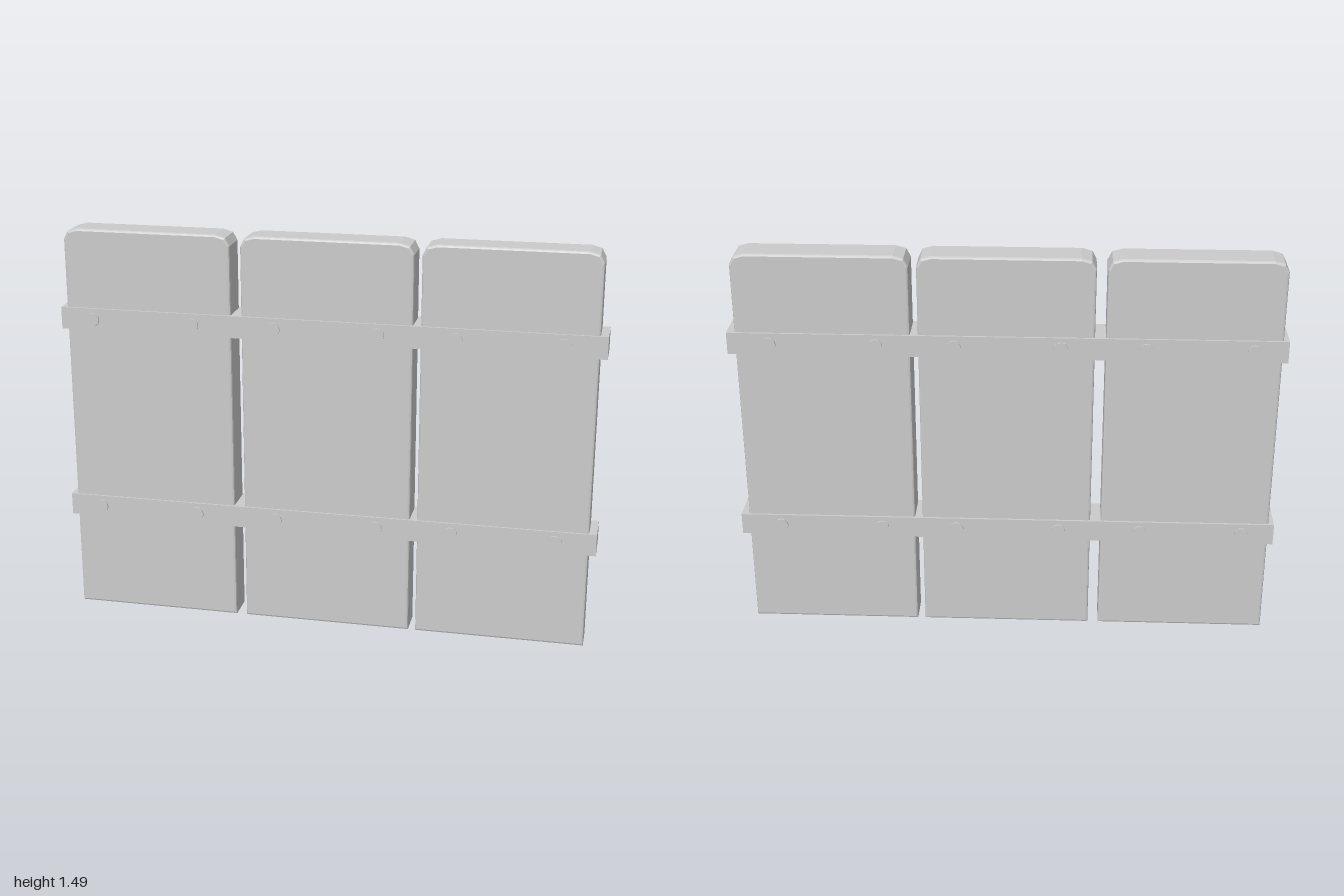
import * as THREE from 'three';

const material = new THREE.MeshStandardMaterial({ color: 0xcccccc, flatShading: true });

// Upright board with clipped top corners and a fine bevel on its edges
function makePlank(x0, x1) {
  const b = 0.008, top = 1.485 - b, l = x0 + b, r = x1 - b, halfDepth = 0.062;
  const shape = new THREE.Shape([
    [l, b], [r, b], [r, top - 0.034], [r - 0.013, top - 0.009], [r - 0.045, top],
    [l + 0.045, top], [l + 0.013, top - 0.009], [l, top - 0.034],
  ].map(([x, y]) => new THREE.Vector2(x, y)));
  const geometry = new THREE.ExtrudeGeometry(shape, {
    depth: 2 * (halfDepth - b), bevelThickness: b, bevelSize: b, bevelSegments: 2,
  });
  geometry.translate(0, 0, b - halfDepth);
  return new THREE.Mesh(geometry, material);
}

export function createModel() {
  const model = new THREE.Group();
  model.name = 'plankBarrier';

  // Three planks side by side
  [[-0.98, -0.354], [-0.315, 0.315], [0.343, 0.972]].forEach(([x0, x1], i) => {
    const plank = makePlank(x0, x1);
    plank.name = `plank${i + 1}`;
    model.add(plank);
  });

  // Two bands around the planks, bolted on both faces
  const bandGeometry = new THREE.BoxGeometry(2, 0.082, 0.14);
  const boltGeometry = new THREE.CylinderGeometry(0.026, 0.026, 0.02, 12).rotateX(Math.PI / 2);
  for (const [label, y] of [['lower', 0.41], ['upper', 1.15]]) {
    const band = new THREE.Mesh(bandGeometry, material);
    band.name = `${label}Band`;
    band.position.y = y;
    model.add(band);

    const bolts = new THREE.Group();
    bolts.name = `${label}Bolts`;
    for (const x of [-0.88, -0.5, -0.195, 0.187, 0.468, 0.85]) {
      for (const side of [-1, 1]) {
        const bolt = new THREE.Mesh(boltGeometry, material);
        bolt.name = 'bolt';
        bolt.position.set(x, y, side * 0.067);
        bolts.add(bolt);
      }
    }
    model.add(bolts);
  }
  return model;
}
